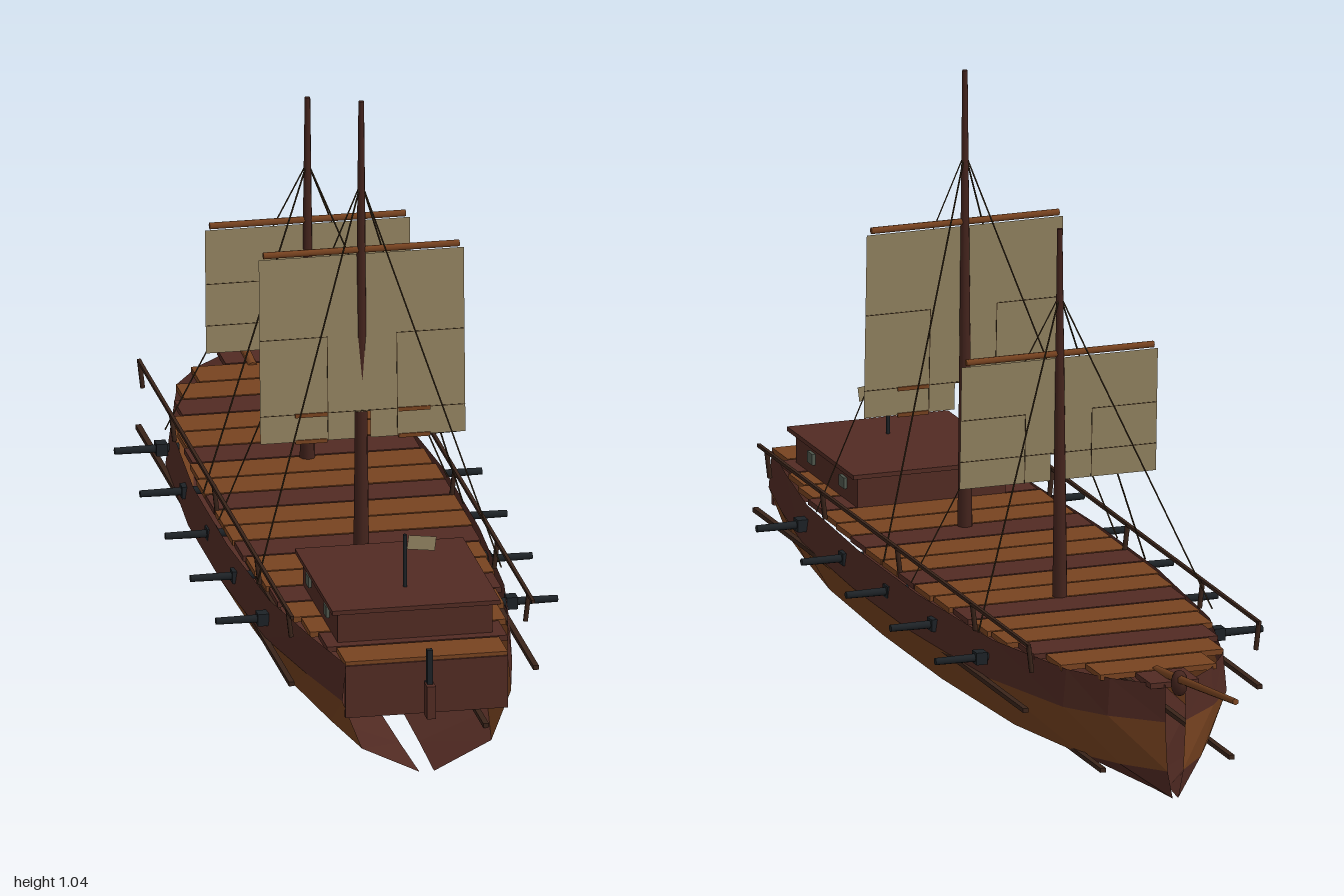
import * as THREE from 'three';

const mat = (name, color, extra = {}) =>
  Object.assign(new THREE.MeshStandardMaterial({ color, ...extra }), { name });

export function createModel() {
  const ship = new THREE.Group();
  ship.name = 'sailingShip';
  const two = { side: THREE.DoubleSide };
  const M = {
    brown: mat('brownWood', 0x784320, two),
    red: mat('darkRedWood', 0x522b23, two),
    mast: mat('mastWood', 0x44241d),
    rail: mat('railWood', 0x3a241a),
    rope: mat('rope', 0x3d2e1c),
    iron: mat('blackIron', 0x1d2226),
    sail: mat('sailCloth', 0x938361, two),
    glass: mat('windowGlass', 0x50584e),
  };
  const add = (name, geo, material, x = 0, y = 0, z = 0) => {
    const m = new THREE.Mesh(geo, material);
    m.name = name;
    m.position.set(x, y, z);
    ship.add(m);
    return m;
  };
  const box = (name, m, w, h, d, x, y, z) => add(name, new THREE.BoxGeometry(w, h, d), m, x, y, z);
  // tapered round bar between two points
  const rod = (name, m, a, b, r0, r1 = r0, sides = 6) => {
    const p = new THREE.Vector3(...a), q = new THREE.Vector3(...b), d = q.clone().sub(p);
    const r = add(name, new THREE.CylinderGeometry(r1, r0, d.length(), sides), m);
    r.position.copy(p).add(q).multiplyScalar(0.5);
    r.quaternion.setFromUnitVectors(new THREE.Vector3(0, 1, 0), d.normalize());
    return r;
  };

  // hull stations: z, breadth factor, half gap along the keel
  const stations = [
    [-0.695, 0.08, 0.005], [-0.62, 0.42, 0.014], [-0.54, 0.65, 0.018], [-0.32, 0.9, 0.02], [0, 1, 0.02],
    [0.3, 1, 0.02], [0.6, 0.93, 0.02], [0.8, 0.78, 0.017], [0.955, 0.64, 0.013],
  ];
  const section = ([z, f, k]) => [[k, 0, z], [0.18 * f, 0.05, z], [0.235 * f, 0.14, z], [0.225 * f, 0.208, z]];
  const breadth = z => {
    const i = Math.max(1, stations.findIndex(s => s[0] >= z));
    const [a, b] = [stations[i - 1], stations[i]];
    return a[1] + (b[1] - a[1]) * (z - a[0]) / (b[0] - a[0]);
  };
  const strakes = [['hullBottom', M.red], ['hullSide', M.brown], ['hullUpperSide', M.red]];
  for (const s of [1, -1]) {
    strakes.forEach(([name, m], j) => {
      const v = [];
      for (let i = 0; i < stations.length - 1; i++) {
        const A = section(stations[i]), B = section(stations[i + 1]);
        const [a, b, c, d] = [A[j], A[j + 1], B[j + 1], B[j]].map(p => [p[0] * s, p[1], p[2]]);
        v.push(...(s > 0 ? [a, b, c, a, c, d] : [a, c, b, a, d, c]).flat());
      }
      const g = new THREE.BufferGeometry();
      g.setAttribute('position', new THREE.Float32BufferAttribute(v, 3));
      g.computeVertexNormals();
      add(name, g, m);
    });
    // straight wales along the sides
    box('upperWale', M.rail, 0.01, 0.008, 1.37, s * 0.218, 0.137, 0.155);
    box('lowerWale', M.rail, 0.01, 0.008, 1.54, s * 0.12, 0.052, 0.115);
  }
  box('transom', M.red, 0.29, 0.096, 0.012, 0, 0.157, 0.95);

  // deck planks, every third one dark
  const pitch = 0.0825;
  for (let i = 0; i < 20; i++) {
    const z = -0.695 + (i + 0.5) * pitch;
    const half = i === 0 ? 0.045 : i === 1 ? 0.108 : 0.225 * 0.95 * breadth(z);
    box('deckPlank', i % 3 ? M.brown : M.red, half * 2, 0.01, pitch - 0.005, 0, 0.207, z);
  }

  for (const s of [1, -1]) {
    // railing
    box('rail', M.rail, 0.006, 0.006, 1.37, s * 0.215, 0.256, 0.145);
    for (const z of [-0.535, -0.25, 0.13, 0.51, 0.79])
      rod('railPost', M.rail, [s * 0.209, 0.207, z], [s * 0.215, 0.258, z], 0.0045);
    // guns and their ports
    for (const z of [-0.307, -0.08, 0.145, 0.37, 0.597]) {
      box('gunPort', M.iron, 0.02, 0.022, 0.024, s * 0.222, 0.175, z);
      rod('gunBarrel', M.iron, [s * 0.19, 0.175, z], [s * 0.305, 0.175, z], 0.008, 0.0065, 8);
    }
    // cabin windows
    for (const z of [0.605, 0.765])
      box('cabinWindow', M.glass, 0.006, 0.02, 0.026, s * 0.141, 0.243, z);
  }

  // cabin
  box('cabin', M.red, 0.276, 0.06, 0.31, 0, 0.238, 0.695);
  box('cabinRoof', M.red, 0.3, 0.008, 0.335, 0, 0.271, 0.695);
  rod('flagpole', M.iron, [0, 0.27, 0.76], [0, 0.372, 0.76], 0.0035);
  const flag = add('flag', new THREE.PlaneGeometry(0.05, 0.026), M.sail, 0.03, 0.354, 0.76);
  flag.rotation.z = -0.12;

  // rudder
  box('rudder', M.red, 0.016, 0.06, 0.028, 0, 0.142, 0.985);
  box('rudderPost', M.iron, 0.01, 0.07, 0.012, 0, 0.2, 0.98);
  box('rudderHinge', M.iron, 0.008, 0.008, 0.04, 0, 0.165, 0.965);

  // masts with yards, sails and shrouds
  const rigs = [
    { z: 0.37, top: 1.04, sailTop: 0.757, hound: 0.89, spars: [0.42, 0.468] },
    { z: -0.11, top: 0.88, sailTop: 0.645, hound: 0.76, spars: [] },
  ];
  for (const { z, top, sailTop, hound, spars } of rigs) {
    rod('mast', M.mast, [0, 0.2, z], [0, top, z], 0.014, 0.005, 8);
    rod('yard', M.brown, [-0.175, sailTop + 0.008, z], [0.175, sailTop + 0.008, z], 0.006);
    // sail hung from the yard, its foot leaning slightly aft, notched around the mast
    const rig = new THREE.Group();
    rig.name = 'sailAssembly';
    rig.position.set(0, sailTop, z);
    rig.rotation.x = -0.045;
    ship.add(rig);
    const foot = 0.42 - sailTop;
    const sh = new THREE.Shape([[-0.183, foot], [-0.014, foot], [-0.014, foot + 0.048], [0.014, foot + 0.048],
      [0.014, foot], [0.183, foot], [0.183, 0], [-0.183, 0]].map(p => new THREE.Vector2(...p)));
    rig.add(add('sail', new THREE.ShapeGeometry(sh), M.sail));
    rig.add(box('sailSeam', M.rope, 0.366, 0.0012, 0.002, 0, foot + 0.05, 0));
    const seam = foot * 0.44;
    for (const s of [1, -1]) {
      rig.add(box('sailSeam', M.rope, 0.12, 0.0012, 0.002, s * 0.122, seam, 0));
      rig.add(box('sailSeam', M.rope, 0.0012, seam - foot, 0.002, s * 0.062, (seam + foot) / 2, 0));
      for (const y of spars)
        rig.add(box('lowerSpar', M.brown, 0.057, 0.007, 0.005, s * 0.092, y - sailTop, 0));
      for (const dz of [0.16, -0.18])
        rod('shroud', M.rope, [0, hound, z], [s * 0.218, 0.215, z + dz], 0.0015, 0.0015, 4);
    }
  }

  // bowsprit and its round collar
  rod('bowsprit', M.brown, [0, 0.208, -0.6], [0, 0.257, -1], 0.009, 0.006);
  const collar = add('bowKnob', new THREE.SphereGeometry(0.016, 8, 6), M.mast, 0, 0.215, -0.715);
  collar.scale.y = 1.5;
  return ship;
}
